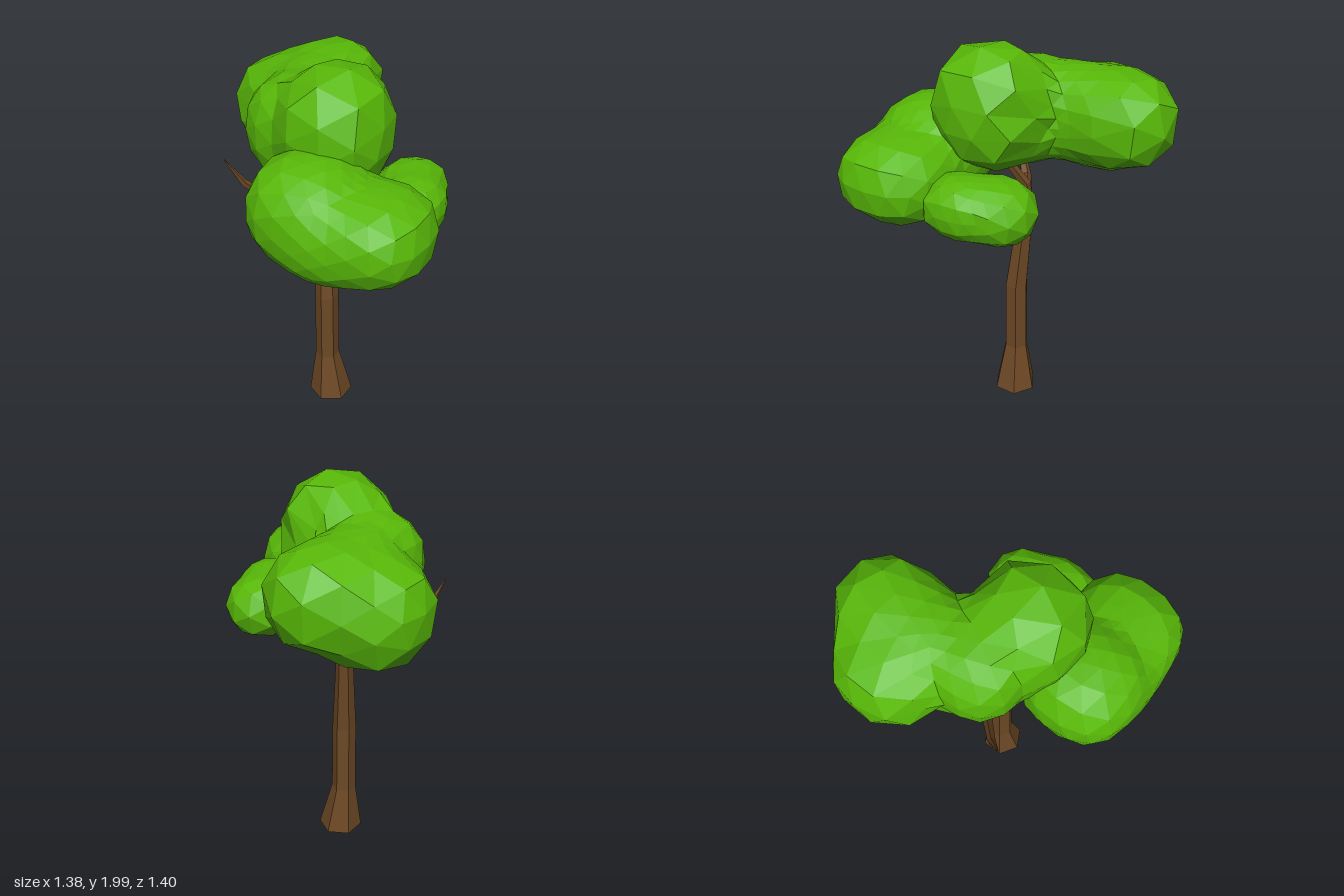
import * as THREE from 'three';

const leafMat = new THREE.MeshStandardMaterial({ color: 0x58b808, flatShading: true });
const barkMat = new THREE.MeshStandardMaterial({ color: 0x6c4825, flatShading: true, side: THREE.DoubleSide });

// Tapering open limb through rings [x, y, z, radius]; level keeps every ring horizontal
function limb(name, rings, sides, level = false) {
  const pts = rings.map(r => new THREE.Vector3(r[0], r[1], r[2]));
  const up = new THREE.Vector3(0, 1, 0);
  const pos = [], idx = [];
  rings.forEach((r, i) => {
    const dir = pts[Math.min(i + 1, pts.length - 1)].clone().sub(pts[Math.max(i - 1, 0)]).normalize();
    const q = new THREE.Quaternion().setFromUnitVectors(up, level ? up : dir);
    for (let s = 0; s < sides; s++) {
      const a = (s / sides) * Math.PI * 2;
      const v = new THREE.Vector3(Math.sin(a) * r[3], 0, Math.cos(a) * r[3]).applyQuaternion(q).add(pts[i]);
      pos.push(v.x, v.y, v.z);
    }
  });
  for (let i = 0; i < rings.length - 1; i++) {
    for (let s = 0; s < sides; s++) {
      const a = i * sides + s, b = i * sides + (s + 1) % sides;
      idx.push(a, b, b + sides, a, b + sides, a + sides);
    }
  }
  const geo = new THREE.BufferGeometry();
  geo.setAttribute('position', new THREE.Float32BufferAttribute(pos, 3));
  geo.setIndex(idx);
  geo.computeVertexNormals();
  const mesh = new THREE.Mesh(geo, barkMat);
  mesh.name = name;
  return mesh;
}

// Faceted leaf mass: a sphere pushed out to the blended surface of
// slightly boxy ellipsoids [x, y, z, rx, ry, rz]
function leafMass(name, detail, center, blobs) {
  const c = new THREE.Vector3(...center);
  const power = (d, r) => Math.abs(d / r) ** 2.4;
  const inside = p => blobs.reduce((sum, [x, y, z, rx, ry, rz]) => {
    const d = (power(p.x - x, rx) + power(p.y - y, ry) + power(p.z - z, rz)) ** (1 / 2.4);
    return sum + Math.exp(13 * (1 - d));
  }, 0) > 1;
  const geo = new THREE.IcosahedronGeometry(1, detail);
  const pos = geo.attributes.position;
  const dir = new THREE.Vector3(), p = new THREE.Vector3();
  for (let i = 0; i < pos.count; i++) {
    dir.fromBufferAttribute(pos, i).normalize();
    let t = 1.1;
    while (t > 0.02 && !inside(p.copy(c).addScaledVector(dir, t))) t -= 0.004;
    pos.setXYZ(i, p.x, p.y, p.z);
  }
  geo.computeVertexNormals();
  const mesh = new THREE.Mesh(geo, leafMat);
  mesh.name = name;
  return mesh;
}

export function createModel() {
  const tree = new THREE.Group();
  tree.name = 'tree';

  // Six-sided trunk with a flared foot and a slight lean
  tree.add(limb('trunk', [
    [-0.02, 0, 0.015, 0.115], [-0.038, 0.26, 0.02, 0.064], [-0.04, 0.65, 0.02, 0.062],
    [-0.068, 1.09, -0.018, 0.043], [-0.075, 1.18, -0.02, 0.036],
  ], 6, true));

  // Branches
  tree.add(limb('bareBranch', [
    [-0.06, 1.13, -0.01, 0.045], [-0.25, 1.18, 0.1, 0.028],
    [-0.38, 1.34, 0.24, 0.02], [-0.43, 1.49, 0.32, 0.003],
  ], 5));
  tree.add(limb('sideBranch', [
    [-0.08, 1.12, -0.01, 0.045], [0.08, 1.16, -0.05, 0.045], [0.32, 1.27, -0.08, 0.03],
  ], 5));
  tree.add(limb('topBranch', [
    [-0.078, 1.12, -0.02, 0.036], [-0.075, 1.24, -0.01, 0.028], [0, 1.4, 0.07, 0.02],
  ], 5));

  // Upper crown: tall middle, left shoulder and back lobes
  tree.add(leafMass('upperCrown', 3, [-0.19, 1.61, -0.13], [
    [0.07, 1.685, 0.1, 0.26, 0.31, 0.28],
    [-0.17, 1.61, 0.03, 0.27, 0.26, 0.24],
    [-0.24, 1.62, -0.2, 0.22, 0.24, 0.22],
    [-0.26, 1.63, -0.43, 0.25, 0.235, 0.28],
    [-0.42, 1.55, -0.29, 0.28, 0.26, 0.27],
  ]));

  // Lower crown: wide front lobes
  tree.add(leafMass('lowerCrown', 3, [0.25, 1.4, 0.39], [
    [0.09, 1.425, 0.4, 0.275, 0.26, 0.29],
    [0.24, 1.35, 0.42, 0.26, 0.22, 0.27],
    [0.42, 1.38, 0.39, 0.27, 0.215, 0.285],
  ]));

  // Small back lobe
  tree.add(leafMass('backLobe', 2, [0.39, 1.32, -0.06], [
    [0.35, 1.31, -0.13, 0.175, 0.155, 0.205],
    [0.42, 1.32, 0.02, 0.165, 0.15, 0.2],
  ]));
  return tree;
}
